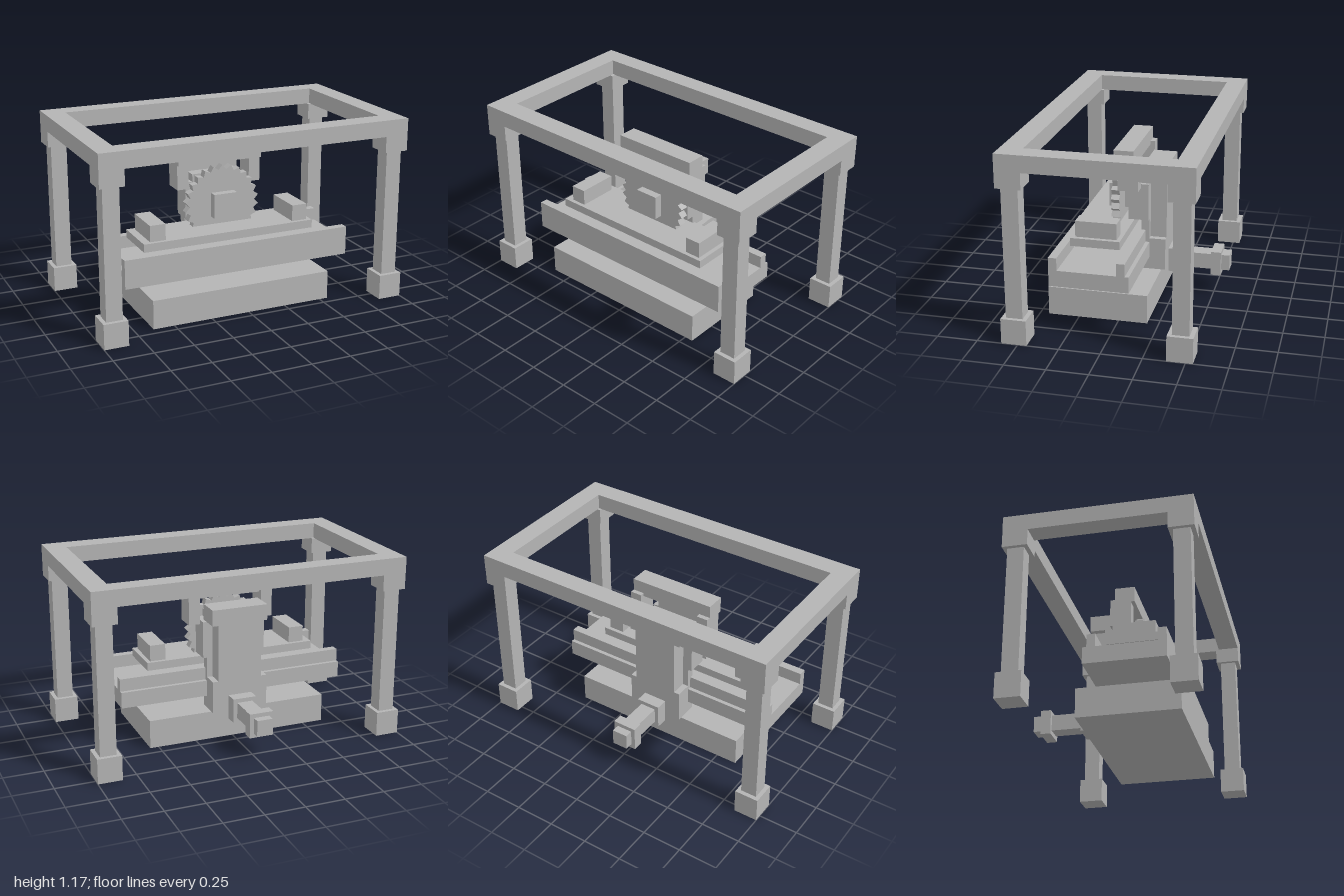
import * as THREE from 'three';

const grey = new THREE.MeshStandardMaterial({ color: 0xb4b4b4 });
grey.name = 'plain grey';

const CX = -0.04; // centre line of the machine

export function createModel() {
  const model = new THREE.Group();
  model.name = 'sawMachine';

  function add(name, geometry) {
    const mesh = new THREE.Mesh(geometry, grey);
    mesh.name = name;
    model.add(mesh);
    return mesh;
  }

  // Box given by its limits on each axis
  function box(name, x0, x1, y0, y1, z0, z1) {
    const mesh = add(name, new THREE.BoxGeometry(x1 - x0, y1 - y0, z1 - z0));
    mesh.position.set((x0 + x1) / 2, (y0 + y1) / 2, (z0 + z1) / 2);
    return mesh;
  }

  // Box centred on the machine's centre line
  const mid = (name, w, y0, y1, z0, z1) => box(name, CX - w / 2, CX + w / 2, y0, y1, z0, z1);

  // Outer frame: top ring with a square hole
  const ring = new THREE.Shape([[-1, -0.6], [1, -0.6], [1, 0.545], [-1, 0.545]]
    .map(([x, y]) => new THREE.Vector2(x, y)));
  ring.holes.push(new THREE.Path([[-0.87, -0.465], [-0.87, 0.42], [0.87, 0.42], [0.87, -0.465]]
    .map(([x, y]) => new THREE.Vector2(x, y))));
  const ringGeometry = new THREE.ExtrudeGeometry(ring, { depth: 0.103, bevelEnabled: false });
  ringGeometry.rotateX(-Math.PI / 2);
  add('topFrame', ringGeometry).position.y = 1.068;

  // Four posts with corner blocks and feet
  for (const side of [-1, 1]) {
    for (const z of [0.5225, -0.4665]) {
      const x = side * 0.924;
      box('foot', x - 0.076, x + 0.076, 0, 0.158, z - 0.0775, z + 0.0775);
      box('post', x - 0.051, x + 0.051, 0.158, 0.966, z - 0.051, z + 0.051);
      box('cornerBlock', x - 0.076, x + 0.076, 0.966, 1.07, z - 0.0775, z + 0.0775);
    }
  }

  // Base slab
  mid('base', 1.19, 0, 0.183, -0.18, 0.443);

  // Tray with two raised lips
  const tray = new THREE.Shape([
    [-0.102, 0.262], [0.392, 0.262], [0.392, 0.445], [0.34, 0.445], [0.34, 0.365],
    [-0.025, 0.365], [-0.025, 0.445], [-0.077, 0.445], [-0.077, 0.365], [-0.102, 0.365],
  ].map(([z, y]) => new THREE.Vector2(-z, y)));
  const trayGeometry = new THREE.ExtrudeGeometry(tray, { depth: 1.5, bevelEnabled: false });
  trayGeometry.rotateY(Math.PI / 2);
  add('tray', trayGeometry).position.x = CX - 0.75;

  // Work table and its two clamps
  box('table', -0.637, 0.503, 0.445, 0.497, 0.003, 0.313);
  box('clamp', -0.588, -0.487, 0.497, 0.6, 0.028, 0.288);
  box('clamp', 0.374, 0.475, 0.497, 0.6, 0.028, 0.288);

  // Rear column, waisted at the back
  mid('columnFront', 0.367, 0.183, 0.86, -0.102, -0.052);
  mid('columnFoot', 0.367, 0.183, 0.39, -0.205, -0.102);
  mid('columnWaist', 0.29, 0.39, 0.757, -0.205, -0.102);
  mid('columnHead', 0.367, 0.757, 0.86, -0.205, -0.102);

  // Motor housing in front of the column
  mid('motorHousing', 0.415, 0.52, 0.757, -0.102, 0.028);
  mid('motorCap', 0.32, 0.757, 0.805, -0.052, 0.028);

  // Guard over the blade
  mid('guardTop', 0.565, 0.888, 0.99, -0.022, 0.104);
  for (const side of [-1, 1]) {
    const x = CX + side * 0.245;
    box('guardArm', x - 0.0375, x + 0.0375, 0.73, 0.91, -0.052, 0.08);
  }

  // Toothed blade
  const teeth = 26;
  const points = [];
  for (let i = 0; i < teeth * 2; i++) {
    const a = Math.PI / 2 + (i * Math.PI) / teeth;
    const r = i % 2 ? 0.222 : 0.25;
    points.push(new THREE.Vector2(r * Math.cos(a), r * Math.sin(a)));
  }
  const bladeGeometry = new THREE.ExtrudeGeometry(new THREE.Shape(points), { depth: 0.052, bevelEnabled: false });
  add('blade', bladeGeometry).position.set(CX, 0.625, 0.08);
  mid('hub', 0.155, 0.548, 0.703, 0.028, 0.183);

  // Rear drive shaft with collars
  mid('innerCollar', 0.155, 0.131, 0.288, -0.285, -0.205);
  mid('driveShaft', 0.102, 0.16, 0.262, -0.597, -0.285);
  mid('outerCollar', 0.155, 0.131, 0.288, -0.545, -0.48);

  return model;
}
